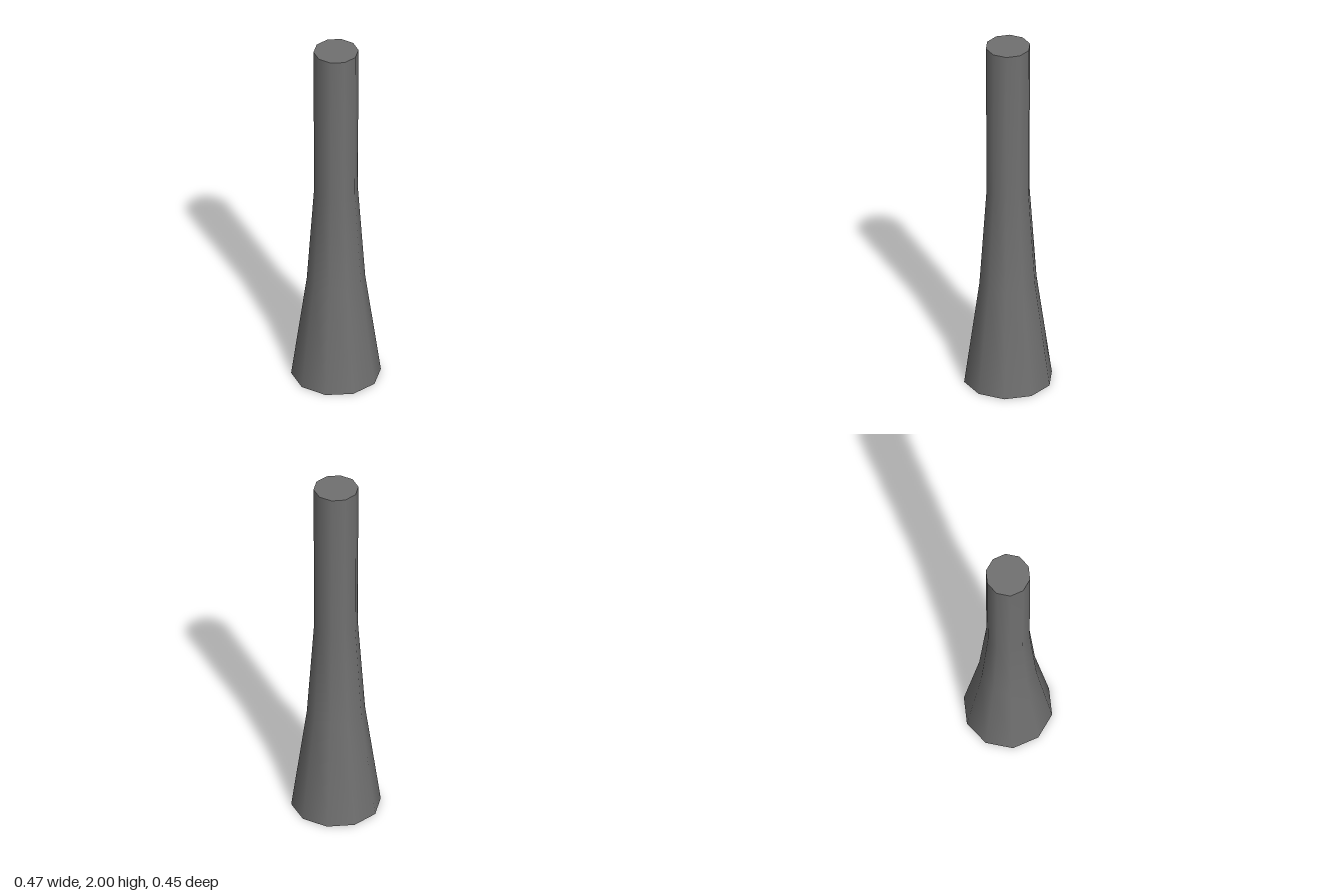
import * as THREE from 'three';

const SIDES = 10;
const PROFILE = [[0.235, 0], [0.153, 0.59], [0.115, 1.14], [0.118, 2]];

export function createModel() {
  const group = new THREE.Group();
  group.name = 'flaredColumn';
  const material = new THREE.MeshStandardMaterial({ color: 0x707070 });

  const add = (name, geometry) => {
    const mesh = new THREE.Mesh(geometry, material);
    mesh.name = name;
    group.add(mesh);
    return mesh;
  };

  // Smooth-shaded shaft, flaring towards the foot, with corners on the x axis
  const points = PROFILE.map(([r, y]) => new THREE.Vector2(r, y));
  add('shaft', new THREE.LatheGeometry(points, SIDES, Math.PI / 2));

  // Flat end caps
  const cap = (name, [r, y], facing) => {
    const mesh = add(name, new THREE.CircleGeometry(r, SIDES));
    mesh.rotation.x = -facing * Math.PI / 2;
    mesh.position.y = y;
  };
  cap('bottomCap', PROFILE[0], -1);
  cap('topCap', PROFILE[PROFILE.length - 1], 1);

  return group;
}
